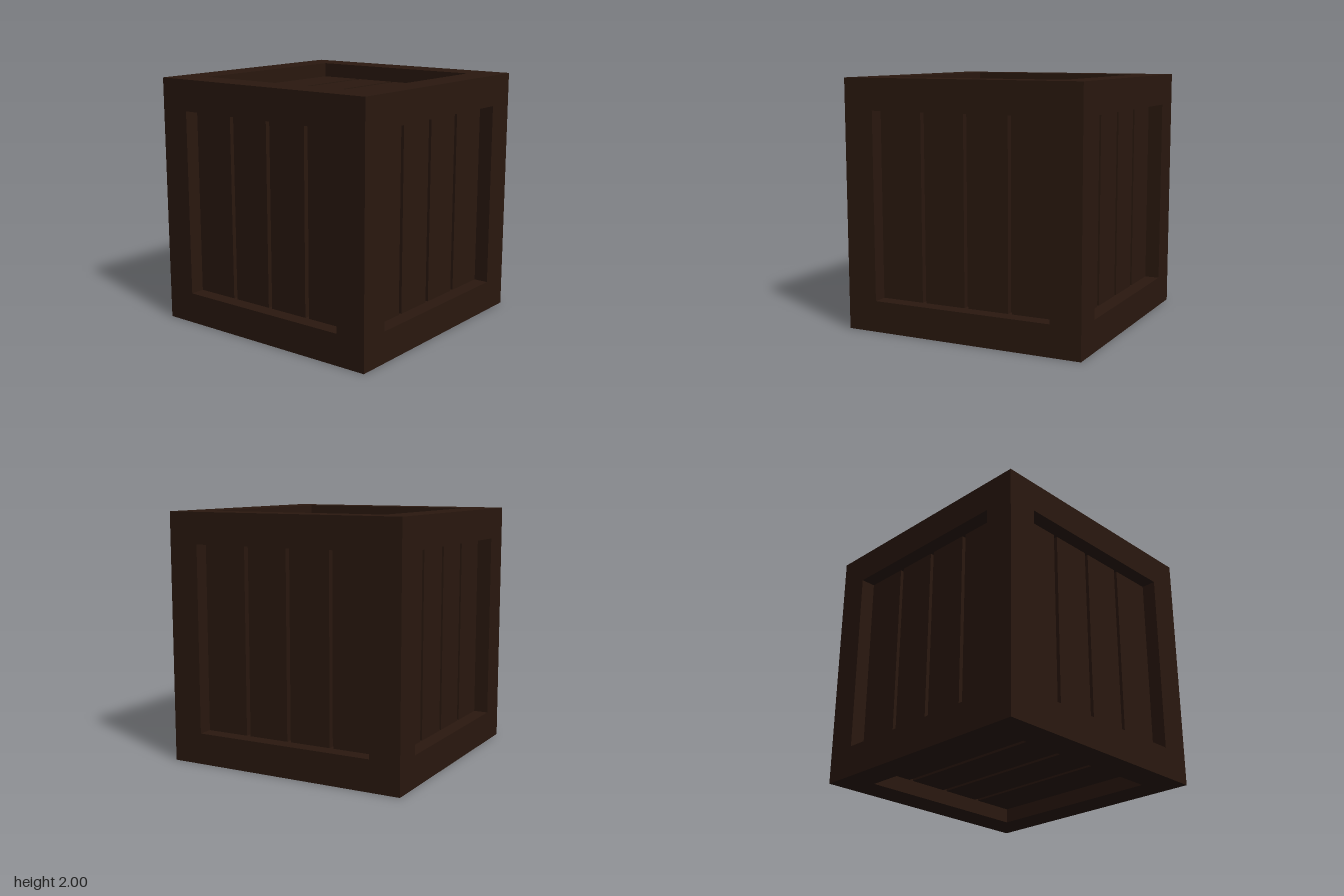
import * as THREE from 'three';

const SIZE = 2;        // outer edge of the crate
const BEAM = 0.25;     // square frame timber
const RECESS = 0.12;   // plank surface below frame surface
const PLANK = 0.05;    // plank thickness, also the groove depth
const GAP = 0.035;     // groove width between planks
const OPEN = SIZE - 2 * BEAM;

export function createModel() {
  const wood = new THREE.MeshStandardMaterial({ color: 0x2a180f, flatShading: true });
  const crate = new THREE.Group();
  crate.name = 'crate';

  const box = (parent, name, size, pos) => {
    const mesh = new THREE.Mesh(new THREE.BoxGeometry(...size), wood);
    mesh.name = name;
    mesh.position.set(...pos);
    parent.add(mesh);
  };

  // Frame: full-height corner posts, with rails fitted between them
  const frame = new THREE.Group();
  frame.name = 'frame';
  const c = (SIZE - BEAM) / 2;
  for (const a of [-c, c]) {
    for (const b of [-c, c]) {
      box(frame, 'cornerPost', [BEAM, SIZE, BEAM], [a, 0, b]);
      box(frame, 'crossRail', [OPEN, BEAM, BEAM], [0, a, b]);
      box(frame, 'sideRail', [BEAM, BEAM, OPEN], [a, b, 0]);
    }
  }
  crate.add(frame);

  // Inner box: forms the floor of the grooves
  const core = SIZE - 2 * (RECESS + PLANK);
  box(crate, 'innerBox', [core, core, core], [0, 0, 0]);

  // Four recessed planks per panel; grooves are centred at -0.373, 0 and 0.373
  const panel = (name, rx, ry) => {
    const group = new THREE.Group();
    group.name = name;
    const edges = [-OPEN / 2, -0.373, 0, 0.373, OPEN / 2];
    for (let i = 0; i < 4; i++) {
      const x0 = edges[i] + (i > 0 ? GAP / 2 : 0);
      const x1 = edges[i + 1] - (i < 3 ? GAP / 2 : 0);
      box(group, 'plank', [x1 - x0, OPEN, PLANK],
        [(x0 + x1) / 2, 0, SIZE / 2 - RECESS - PLANK / 2]);
    }
    group.rotation.set(rx, ry, 0);
    crate.add(group);
  };
  const q = Math.PI / 2;
  panel('frontPanel', 0, 0);
  panel('leftPanel', 0, q);
  panel('backPanel', 0, 2 * q);
  panel('rightPanel', 0, -q);
  panel('topPanel', -q, 0);
  panel('bottomPanel', q, 0);

  crate.position.y = SIZE / 2;
  const model = new THREE.Group();
  model.name = 'woodenCrate';
  model.add(crate);
  return model;
}
